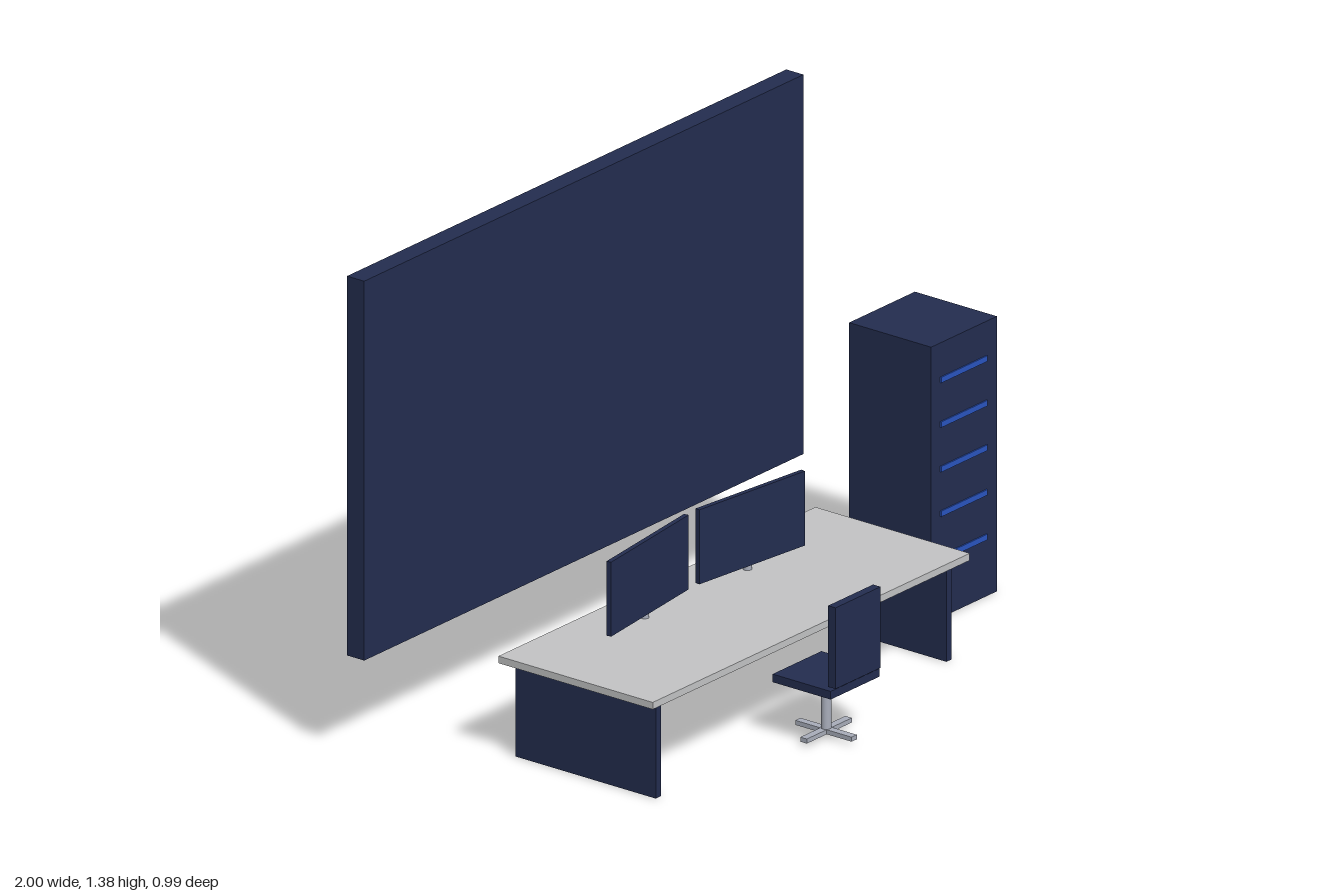
import * as THREE from 'three';

const material = (name, color) => {
  const m = new THREE.MeshStandardMaterial({ color });
  m.name = name;
  return m;
};

export function createModel() {
  const navy = material('navy', 0x232d50);
  const blue = material('blue', 0x2a55c0);
  const grey = material('lightGrey', 0xc4c5c6);
  const metal = material('metal', 0xa9aebb);

  const model = new THREE.Group();
  model.name = 'officeWorkstation';

  const group = (name) => {
    const g = new THREE.Group();
    g.name = name;
    model.add(g);
    return g;
  };
  // Box given by its extents along each axis
  const box = (parent, name, mat, [x0, x1], [y0, y1], [z0, z1]) => {
    const mesh = new THREE.Mesh(new THREE.BoxGeometry(x1 - x0, y1 - y0, z1 - z0), mat);
    mesh.position.set((x0 + x1) / 2, (y0 + y1) / 2, (z0 + z1) / 2);
    mesh.name = name;
    parent.add(mesh);
    return mesh;
  };
  const post = (parent, name, r, x, y0, y1, z) => {
    const mesh = new THREE.Mesh(new THREE.CylinderGeometry(r, r, y1 - y0, 24), metal);
    mesh.position.set(x, (y0 + y1) / 2, z);
    mesh.name = name;
    parent.add(mesh);
  };

  // Large wall panel behind the desk
  box(model, 'wallPanel', navy, [-1, 0.857], [0.3, 1.38], [-0.492, -0.434]);

  // Cabinet with bars showing on its front and back
  const cabinet = group('cabinet');
  box(cabinet, 'cabinetBody', navy, [0.722, 1], [0, 0.783], [-0.172, 0.105]);
  for (let i = 0; i < 5; i++) {
    const y = 0.17 + i * 0.127;
    for (const [side, z] of [['front', [0.105, 0.109]], ['back', [-0.177, -0.172]]]) {
      box(cabinet, side + 'DrawerBar', blue, [0.76, 0.956], [y - 0.008, y + 0.008], z);
    }
  }

  // Desk on two side panels
  const desk = group('desk');
  box(desk, 'deskTop', grey, [-0.743, 0.597], [0.274, 0.294], [-0.186, 0.335]);
  for (const x of [-0.688, 0.541]) {
    box(desk, 'deskLegPanel', navy, [x - 0.011, x + 0.011], [0, 0.274], [-0.163, 0.31]);
  }

  // Two monitors, angled toward the sitter
  for (const [x, side] of [[-0.289, 1], [0.145, -1]]) {
    const monitor = group('monitor');
    const screen = box(monitor, 'screen', navy, [x - 0.195, x + 0.195], [0.31, 0.522], [-0.052, -0.038]);
    screen.rotation.y = side * 0.122;
    post(monitor, 'monitorStand', 0.012, x, 0.294, 0.33, -0.055);
  }

  // Swivel chair with a cross-shaped foot
  const chair = group('chair');
  const cx = -0.073, cz = 0.385;
  box(chair, 'seat', navy, [cx - 0.103, cx + 0.103], [0.16, 0.183], [cz - 0.098, cz + 0.098]);
  box(chair, 'backrest', navy, [cx - 0.095, cx + 0.095], [0.19, 0.421], [0.468, 0.493]);
  post(chair, 'chairPost', 0.014, cx, 0.015, 0.16, cz);
  for (const turn of [0, Math.PI / 2]) {
    const bar = box(chair, 'footBar', metal, [cx - 0.095, cx + 0.095], [0.01, 0.023], [cz - 0.011, cz + 0.011]);
    bar.rotation.y = turn;
  }

  return model;
}
